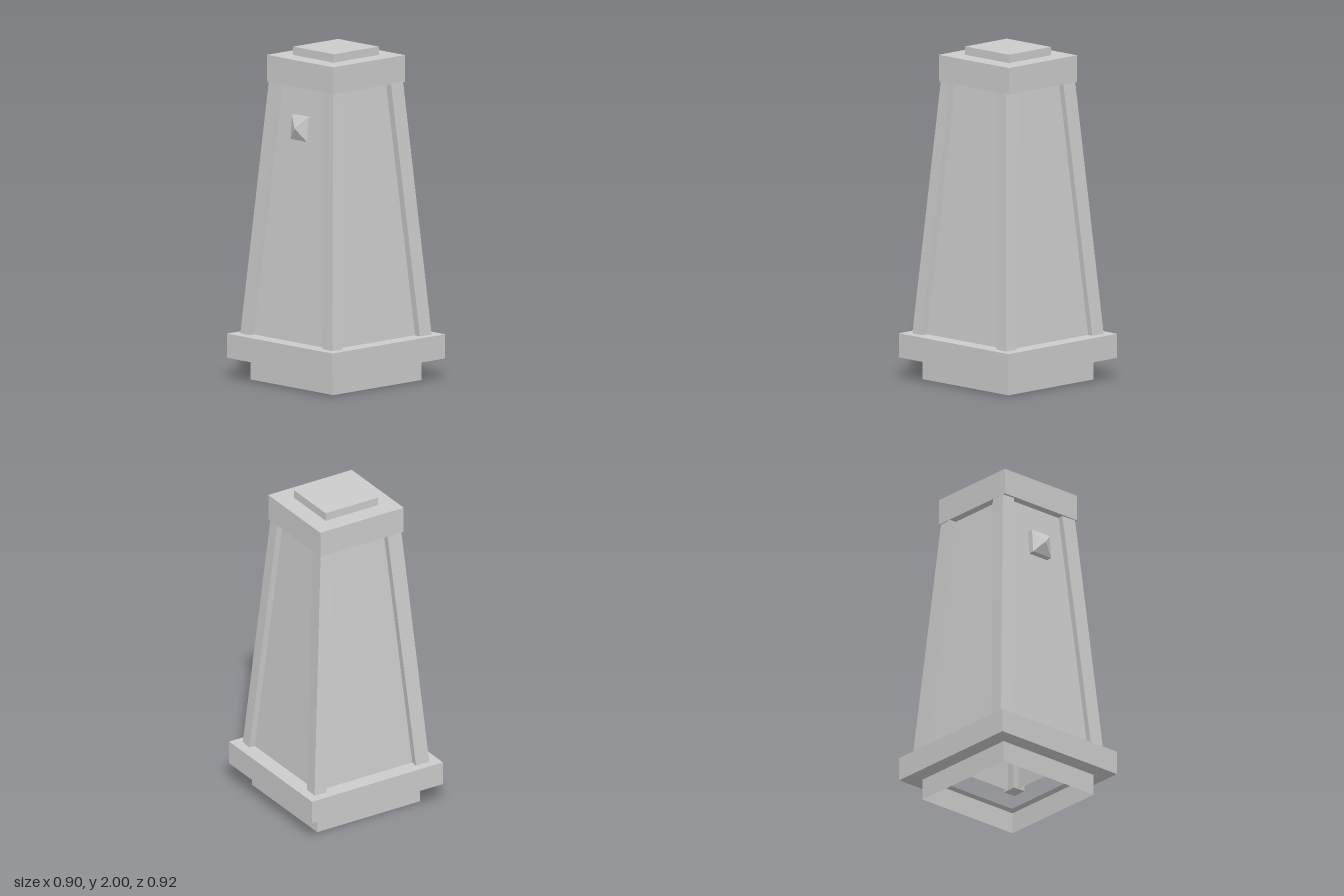
import * as THREE from 'three';

const grey = new THREE.MeshStandardMaterial({ color: 0xcccccc, flatShading: true });
const greyDouble = new THREE.MeshStandardMaterial({ color: 0xcccccc, flatShading: true, side: THREE.DoubleSide });

// Four corners of a rectangle, counter-clockwise seen from above
const rect = (a, b) => [[a, b], [a, -b], [-a, -b], [-a, b]];

// Loft between a lower and an upper [x, z] outline, optionally closed
function loft(lower, y0, upper, y1, capped) {
  const lo = lower.map(([x, z]) => [x, y0, z]);
  const up = upper.map(([x, z]) => [x, y1, z]);
  const pos = [];
  const tri = (...pts) => pts.forEach((p) => pos.push(...p));
  const n = lo.length;
  for (let i = 0; i < n; i++) {
    const j = (i + 1) % n;
    tri(lo[i], lo[j], up[j]);
    tri(lo[i], up[j], up[i]);
    if (capped && i > 0 && i < n - 1) {
      tri(up[0], up[i], up[j]);
      tri(lo[0], lo[j], lo[i]);
    }
  }
  const geo = new THREE.BufferGeometry();
  geo.setAttribute('position', new THREE.Float32BufferAttribute(pos, 3));
  geo.computeVertexNormals();
  return geo;
}

export function createModel() {
  const group = new THREE.Group();
  const add = (name, geo, mat = grey) => {
    const mesh = new THREE.Mesh(geo, mat);
    mesh.name = name;
    group.add(mesh);
    return mesh;
  };
  const box = (name, hx, hz, y0, y1) => {
    add(name, new THREE.BoxGeometry(hx * 2, y1 - y0, hz * 2)).position.y = (y0 + y1) / 2;
  };

  // Thin open foot
  add('foot', loft(rect(0.355, 0.36), 0, rect(0.355, 0.36), 0.13, false), greyDouble);

  // Projecting plinth, hollow in the middle
  const outline = (Type, a, b) => new Type(rect(a, b).map(([x, z]) => new THREE.Vector2(x, z)));
  const plinthShape = outline(THREE.Shape, 0.452, 0.46);
  plinthShape.holes.push(outline(THREE.Path, 0.31, 0.315));
  const plinthGeo = new THREE.ExtrudeGeometry(plinthShape, { depth: 0.145, bevelEnabled: false });
  plinthGeo.rotateX(-Math.PI / 2);
  add('plinth', plinthGeo).position.y = 0.13;

  // Tapered panels, open below
  add('panels', loft(rect(0.355, 0.363), 0.27, rect(0.235, 0.243), 1.8, false), greyDouble);

  // Corner posts, slightly twisted and repeated by quarter turns
  const postFoot = [[0.395, 0.405], [0.4, 0.325], [0.31, 0.32], [0.305, 0.4]];
  const postHead = [[0.275, 0.285], [0.28, 0.2], [0.185, 0.195], [0.18, 0.28]];
  const postGeo = loft(postFoot, 0.27, postHead, 1.8, true);
  for (let i = 0; i < 4; i++) {
    add('cornerPost', postGeo).rotation.y = i * Math.PI / 2;
  }

  // Cap and its raised top
  box('cap', 0.284, 0.293, 1.79, 1.95);
  box('capTop', 0.174, 0.184, 1.95, 2);

  // Pyramid stud on the front panel, tilted with its slope
  const stud = new THREE.Group();
  stud.name = 'stud';
  const studBase = new THREE.Mesh(new THREE.BoxGeometry(0.14, 0.145, 0.06), grey);
  studBase.name = 'studBase';
  studBase.position.z = -0.03;
  const tipGeo = new THREE.ConeGeometry(0.07 * Math.SQRT2, 0.04, 4, 1, true);
  tipGeo.rotateY(Math.PI / 4).rotateX(Math.PI / 2);
  const studTip = new THREE.Mesh(tipGeo, grey);
  studTip.name = 'studTip';
  studTip.position.z = 0.02;
  studTip.scale.y = 1.035;
  stud.add(studBase, studTip);
  stud.position.set(0, 1.547, 0.298);
  stud.rotation.x = -0.078;
  group.add(stud);

  return group;
}
